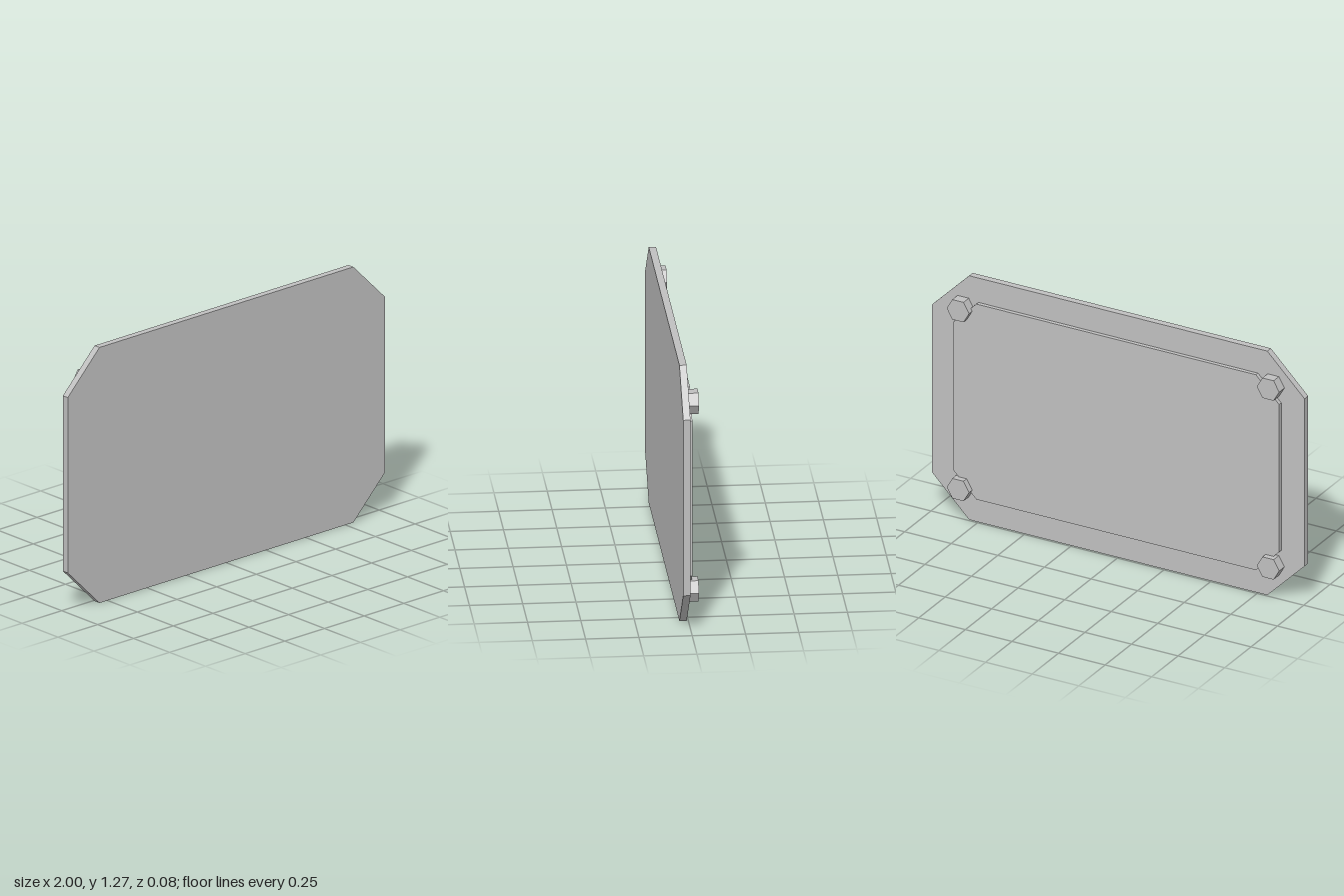
import * as THREE from 'three';

const HEIGHT = 1.274, MID_Y = HEIGHT / 2;
const BACK = -0.042, PANEL_BACK = -0.012, PLATE_BACK = 0.008, FRONT = 0.042;

// Rectangular slab with 45 degree cut corners, spanning z0 to z1
function chamferedSlab(name, halfW, halfH, cut, z0, z1, material) {
  const shape = new THREE.Shape([
    [halfW - cut, -halfH], [halfW, cut - halfH],
    [halfW, halfH - cut], [halfW - cut, halfH],
    [cut - halfW, halfH], [-halfW, halfH - cut],
    [-halfW, cut - halfH], [cut - halfW, -halfH],
  ].map(([x, y]) => new THREE.Vector2(x, y)));
  const geometry = new THREE.ExtrudeGeometry(shape, { depth: z1 - z0, bevelEnabled: false });
  const mesh = new THREE.Mesh(geometry, material);
  mesh.name = name;
  mesh.position.set(0, MID_Y, z0);
  return mesh;
}

export function createModel() {
  const model = new THREE.Group();
  model.name = 'coverPlate';
  const metal = new THREE.MeshStandardMaterial({ color: 0xc0c0c0 });
  metal.name = 'light grey metal';

  // Front plate and the thinner raised panel on its back
  model.add(chamferedSlab('plate', 1, MID_Y, 0.2, PLATE_BACK, FRONT, metal));
  model.add(chamferedSlab('backPanel', 0.875, 0.51, 0.125, PANEL_BACK, PLATE_BACK, metal));

  // Hexagonal bolt heads at the four back corners, points to the sides
  const depth = PLATE_BACK - BACK;
  const hex = new THREE.CylinderGeometry(0.06, 0.06, depth, 6).toNonIndexed();
  hex.rotateY(Math.PI / 2);
  hex.rotateX(Math.PI / 2);
  hex.computeVertexNormals();
  for (const [sx, side] of [[1, 'Left'], [-1, 'Right']]) {
    for (const [sy, level] of [[1, 'upper'], [-1, 'lower']]) {
      const bolt = new THREE.Mesh(hex, metal);
      bolt.name = `${level}${side}Bolt`;
      bolt.position.set(sx * 0.832, MID_Y + sy * 0.467, BACK + depth / 2);
      model.add(bolt);
    }
  }
  return model;
}
